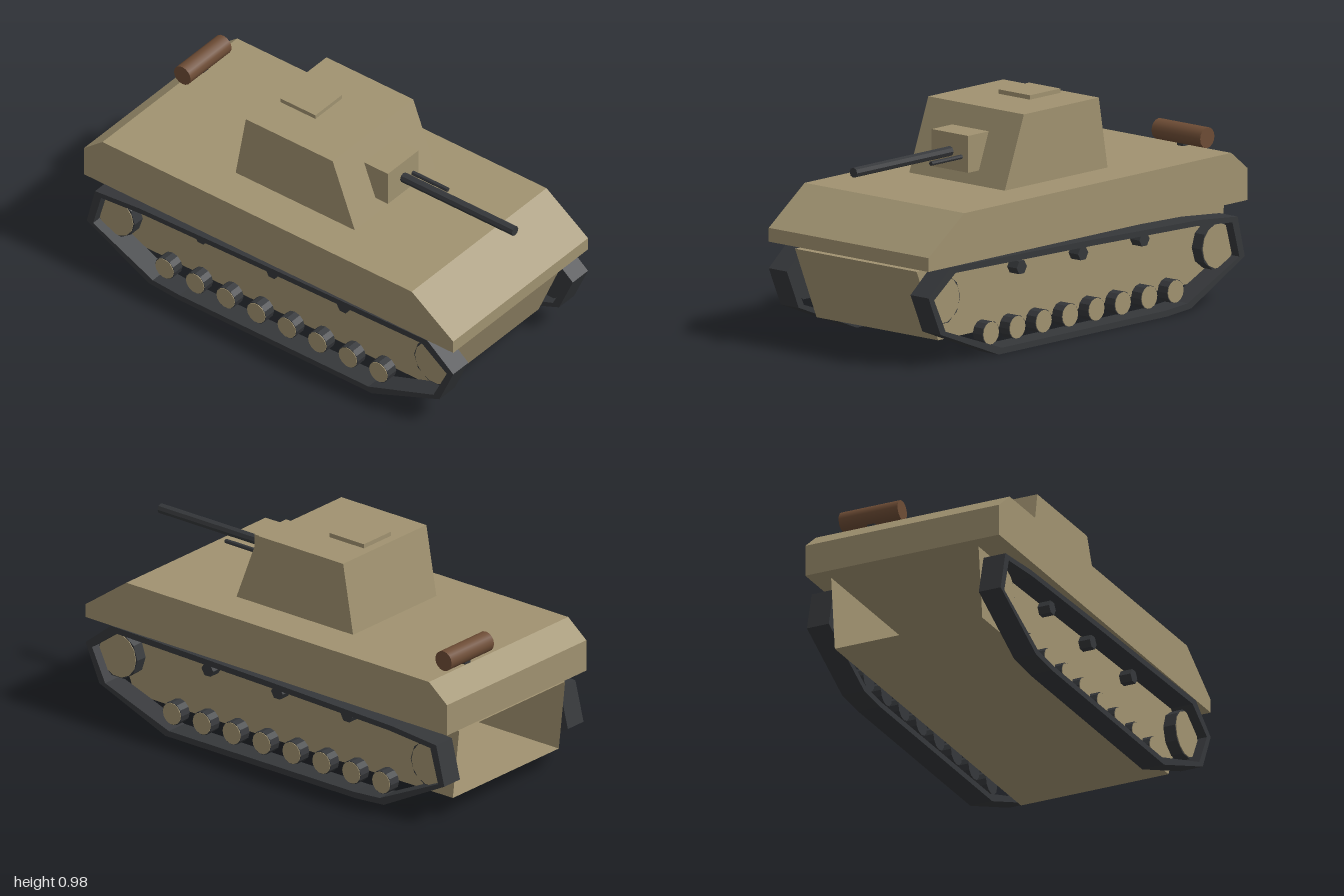
import * as THREE from 'three';

const mat = (name, color, side = THREE.FrontSide) => {
  const m = new THREE.MeshStandardMaterial({ color, side });
  m.name = name;
  return m;
};

export function createModel() {
  const tan = mat('tan armour', 0xa09270);
  const tanOpen = mat('tan armour', 0xa09270, THREE.DoubleSide);
  const dark = mat('dark steel', 0x35373a);
  const brown = mat('rusty brown', 0x6d4c35);
  const model = new THREE.Group();
  model.name = 'tank';

  const add = (name, geometry, material, x = 0, y = 0, z = 0) => {
    const mesh = new THREE.Mesh(geometry, material);
    mesh.name = name;
    mesh.position.set(x, y, z);
    model.add(mesh);
    return mesh;
  };

  // Side profile given as [z, y] points, extruded across x and centred on it
  const vectors = pts => pts.map(p => new THREE.Vector2(p[0], p[1]));
  const profile = (pts, width, hole) => {
    const shape = new THREE.Shape(vectors(pts));
    if (hole) shape.holes.push(new THREE.Path(vectors(hole)));
    const g = new THREE.ExtrudeGeometry(shape, { depth: width, bevelEnabled: false });
    g.translate(0, 0, -width / 2);
    return g.rotateY(-Math.PI / 2);
  };

  // Flat-sided cylinder lying along x or z
  const rod = (r, length, sides, axis) => {
    const g = new THREE.CylinderGeometry(r, r, length, sides).toNonIndexed();
    g.computeVertexNormals();
    return axis === 'x' ? g.rotateZ(-Math.PI / 2) : g.rotateX(Math.PI / 2);
  };

  // Upper hull
  add('upperHull', profile([[1, 0.43], [1, 0.49], [0.775, 0.65], [-0.9, 0.65], [-1, 0.57], [-1, 0.43]], 0.92), tan);

  // Lower hull, a thin shell left open at the rear
  const shell = profile([[0.82, 0.09], [0.955, 0.408], [-0.975, 0.408], [-0.94, 0.09]], 0.7);
  const p = shell.attributes.position;
  const kept = [];
  for (let i = 0; i < p.count; i += 3) {
    const rear = [0, 1, 2].every(k => p.getZ(i + k) < -0.9);
    if (!rear) kept.push(i, i + 1, i + 2);
  }
  shell.clearGroups();
  shell.setIndex(kept);
  add('lowerHull', shell, tanOpen);

  // Turret, hatch and mantlet
  add('turret', profile([[0.32, 0.65], [0.2, 0.962], [-0.27, 0.962], [-0.325, 0.65]], 0.55), tan);
  add('hatch', new THREE.BoxGeometry(0.18, 0.02, 0.19), tan, 0, 0.971, -0.135);
  add('mantlet', new THREE.BoxGeometry(0.21, 0.16, 0.135), tan, 0, 0.79, 0.297);

  // Guns
  add('mainGun', rod(0.022, 0.62, 8, 'z'), dark, 0, 0.79, 0.66);
  add('machineGun', rod(0.01, 0.2, 8, 'z'), dark, 0.065, 0.774, 0.455);

  // Exhaust and its bracket
  const muffler = new THREE.CylinderGeometry(0.045, 0.045, 0.28, 16).rotateZ(Math.PI / 2);
  add('exhaust', muffler, brown, 0.2, 0.702, -0.88);
  add('exhaustBracket', new THREE.BoxGeometry(0.035, 0.03, 0.035), dark, 0.2, 0.66, -0.88);

  // Running gear, the same on both sides
  const outer = [[1, 0.315], [0.86, 0.428], [0, 0.41], [-0.7, 0.39], [-0.94, 0.368], [-0.985, 0.19],
    [-0.65, 0.015], [-0.5, 0.003], [0.56, 0.003], [0.925, 0.146]];
  const inner = outer.map(([z, y]) => [z * 0.965, 0.21 + (y - 0.21) * 0.87]);
  const track = profile(outer, 0.104, inner);

  const wheel = (side, name, z, y, r, sides, capRadius) => {
    add(name, rod(r, 0.055, sides, 'x'), dark, side * 0.387, y, z);
    if (capRadius) add(name + 'Cap', rod(capRadius, 0.006, 14, 'x'), tan, side * 0.4145, y, z);
  };

  for (const side of [1, -1]) {
    add('track', track, dark, side * 0.408);
    wheel(side, 'frontWheel', 0.86, 0.28, 0.108, 10, 0.101);
    wheel(side, 'rearWheel', -0.865, 0.246, 0.104, 10, 0.097);
    for (let i = 0; i < 8; i++) wheel(side, 'roadWheel', 0.56 - i * 0.1655, 0.09, 0.052, 12, 0.049);
    for (let i = 0; i < 3; i++) wheel(side, 'returnRoller', 0.365 - i * 0.385, 0.345, 0.032, 6);
  }
  return model;
}
